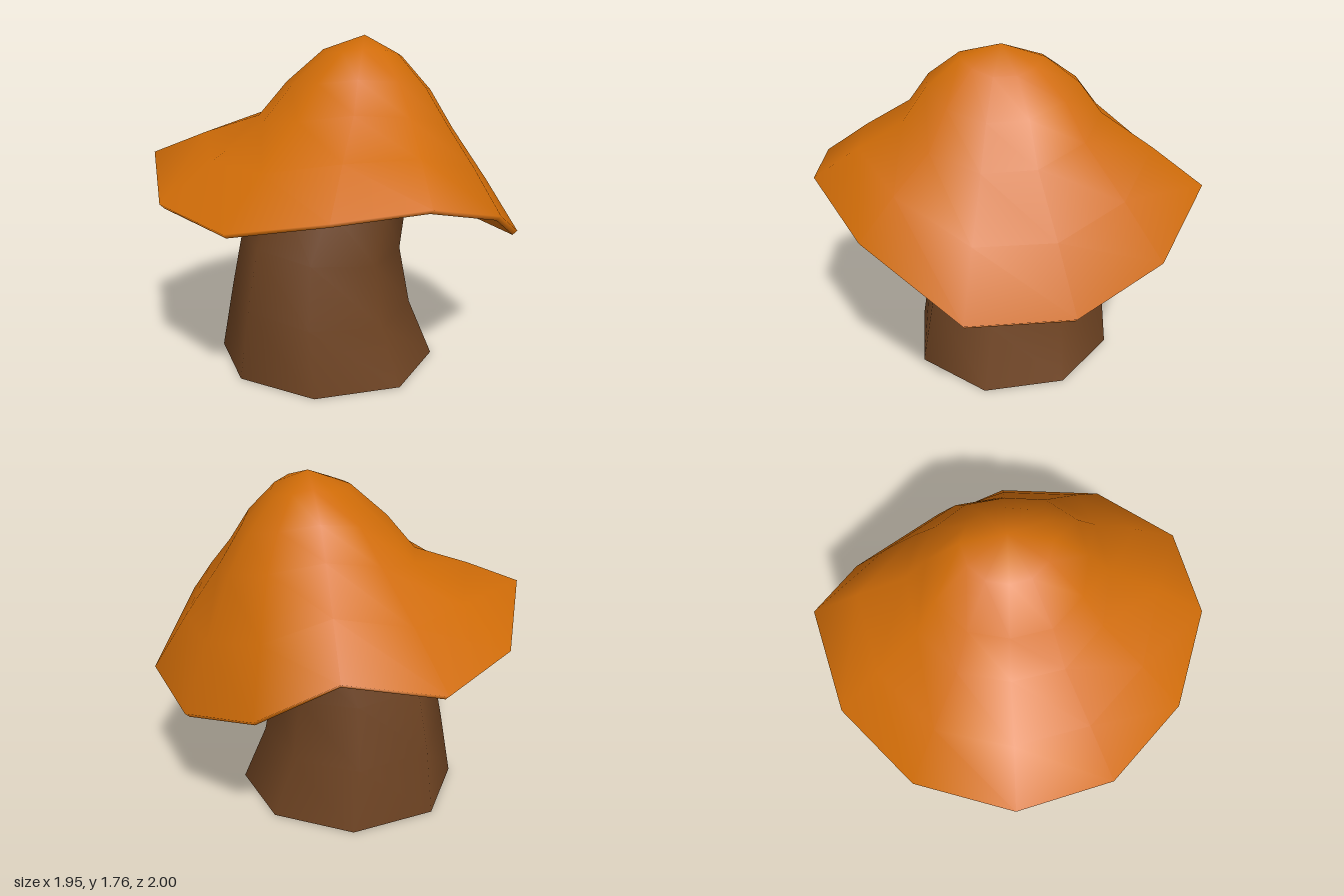
import * as THREE from 'three';

// Skin a list of rings (each a list of [x, y, z]); a ring of one point is a tip.
function loft(rings) {
  const points = [], index = [], starts = [];
  for (const ring of rings) {
    starts.push(points.length / 3);
    ring.forEach((p) => points.push(...p));
  }
  const sides = Math.max(...rings.map((r) => r.length));
  const id = (i, j) => starts[i] + (j % rings[i].length);
  for (let i = 0; i < rings.length - 1; i++) {
    for (let j = 0; j < sides; j++) {
      const a = id(i, j), b = id(i, j + 1), c = id(i + 1, j), d = id(i + 1, j + 1);
      if (a !== b) index.push(a, b, c);
      if (c !== d) index.push(b, d, c);
    }
  }
  const geometry = new THREE.BufferGeometry();
  geometry.setAttribute('position', new THREE.Float32BufferAttribute(points, 3));
  geometry.setIndex(index);
  geometry.computeVertexNormals();
  return geometry;
}

export function createModel() {
  const model = new THREE.Group();
  const capOrange = new THREE.MeshStandardMaterial({ color: 0xd06c08, side: THREE.DoubleSide });
  const stemBrown = new THREE.MeshStandardMaterial({ color: 0x6e4322, side: THREE.DoubleSide });
  capOrange.name = 'capOrange';
  stemBrown.name = 'stemBrown';

  const add = (name, rings, material) => {
    const mesh = new THREE.Mesh(loft(rings), material);
    mesh.name = name;
    model.add(mesh);
  };

  // Wavy rim of the cap, starting at +x and turning towards +z
  const rim = [
    [0.975, 0.73, 0], [0.785, 0.98, 0.53], [0.435, 1.12, 0.89], [0.01, 1.09, 1.0],
    [-0.46, 0.985, 0.85], [-0.83, 1.005, 0.485], [-0.975, 1.15, 0], [-0.8, 0.97, -0.5],
    [-0.41, 0.94, -0.87], [0.08, 1.09, -1.0], [0.45, 0.84, -0.84], [0.78, 0.7, -0.48],
  ];

  // Cap ring: follows the rim wave by "wave", is higher at front and back by
  // "saddle" and fuller on the diagonals by "bulge"
  const capRing = (cx, rx, rz, y, saddle, wave, bulge) => rim.map((p, j) => {
    const t = (j / rim.length) * Math.PI * 2;
    const s = 1 + bulge * Math.sin(2 * t) ** 2;
    return [
      cx + rx * s * Math.cos(t),
      y - saddle * Math.cos(2 * t) + wave * (p[1] - 0.97),
      rz * s * Math.sin(t),
    ];
  });
  const shoulder = capRing(0.095, 0.505, 0.485, 1.375, 0.048, 0.14, 0.05);
  const skirt = shoulder.map((p, j) => [
    (p[0] + rim[j][0]) / 2,
    (p[1] + rim[j][1]) / 2 + 0.01,
    (p[2] + rim[j][2]) / 2,
  ]);
  const lip = rim.map(([x, y, z]) => [x * 0.975, y - 0.024, z * 0.975]);

  // Cap top with its rolled lip
  add('capTop', [
    [[0.14, 1.765, 0]],
    capRing(0.13, 0.2, 0.21, 1.69, 0.012, 0.08, 0),
    capRing(0.11, 0.37, 0.375, 1.545, 0.033, 0.09, 0.04),
    shoulder,
    skirt,
    rim,
    lip,
  ], capOrange);

  // Shallow underside, rising gently to the stem
  add('capUnderside', [
    lip,
    capRing(0.08, 0.46, 0.45, 1.12, 0.015, 0.2, 0),
    [[0.1, 1.15, 0]],
  ], capOrange);

  // Stem: leaning eight-sided rings from top to bottom, open at the base
  // [centre x, centre z, half width x, half depth z, height, tilt, diagonal skew]
  const stem = [
    [0.12, -0.01, 0.33, 0.34, 1.2, 0.06, 0.03],
    [0.0, -0.01, 0.37, 0.4, 0.95, 0.055, 0.03],
    [-0.09, -0.01, 0.43, 0.455, 0.675, 0.045, 0.03],
    [-0.095, -0.02, 0.495, 0.51, 0.345, 0.035, 0.03],
    [-0.065, -0.015, 0.595, 0.555, 0, 0, 0.02],
  ].map(([cx, cz, rx, rz, y, tilt, skew]) => Array.from({ length: 8 }, (_, j) => {
    const t = (j / 8) * Math.PI * 2 + 0.05;
    const s = 1 + skew * Math.sin(2 * t);
    return [cx + rx * s * Math.cos(t), y - tilt * Math.cos(t), cz + rz * s * Math.sin(t)];
  }));
  add('stem', stem, stemBrown);

  return model;
}
